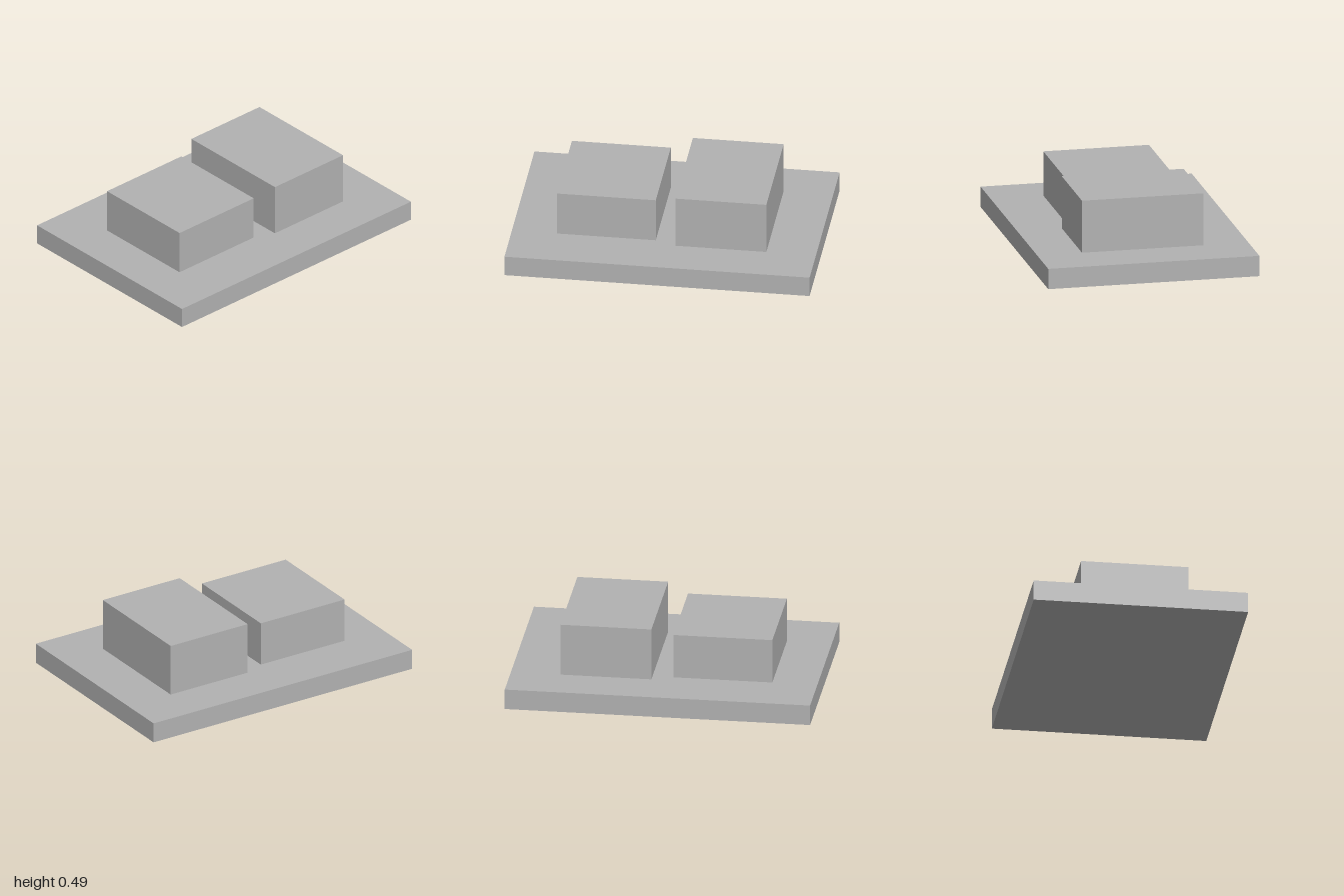
import * as THREE from 'three';

const grey = new THREE.MeshStandardMaterial({ color: 0xb2b2b2 });
grey.name = 'grey';

// Box given by its x range, y range and full depth, centred on z = 0
function block(name, [x0, x1], [y0, y1], depth) {
  const mesh = new THREE.Mesh(new THREE.BoxGeometry(x1 - x0, y1 - y0, depth), grey);
  mesh.position.set((x0 + x1) / 2, (y0 + y1) / 2, 0);
  mesh.name = name;
  return mesh;
}

export function createModel() {
  const model = new THREE.Group();
  model.name = 'blocksOnSlab';
  const slabTop = 0.137;

  model.add(
    block('baseSlab', [-1, 1], [0, slabTop], 1.405),
    block('lowBlock', [-0.705, -0.057], [slabTop, 0.435], 0.703),
    block('tallBlock', [0.08, 0.675], [slabTop, 0.488], 0.81),
  );
  return model;
}
